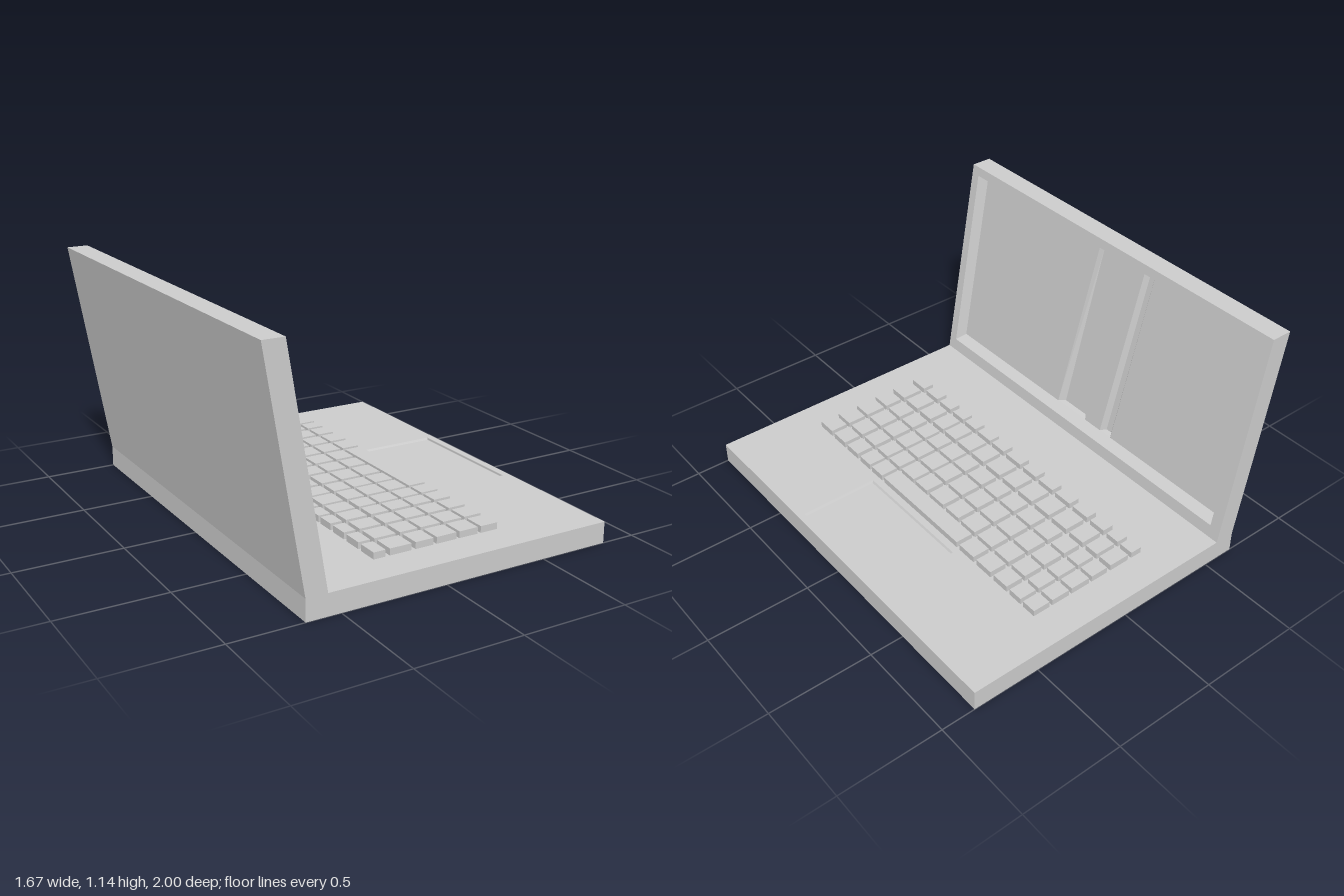
import * as THREE from 'three';

const grey = new THREE.MeshStandardMaterial({ color: 0xcccccc, flatShading: true });

// Counter-clockwise rectangle
const rect = (x0, y0, x1, y1) => [[x0, y0], [x1, y0], [x1, y1], [x0, y1]];
const toVectors = (pts) => pts.map(([x, y]) => new THREE.Vector2(x, y));

// Flat face at height h, with optional holes
function panel(outline, h, { holes = [], flip = false } = {}) {
  const shape = new THREE.Shape(toVectors(outline));
  holes.forEach((pts) => shape.holes.push(new THREE.Path(toVectors(pts))));
  const geo = new THREE.ShapeGeometry(shape).translate(0, 0, h);
  if (flip) {
    geo.index.array.reverse();
    geo.computeVertexNormals();
  }
  return geo;
}

// Walls joining two outlines: outward when a is above b, inward when a is below b
function walls(a, ha, b, hb) {
  const pos = [];
  a.forEach((p, i) => {
    const j = (i + 1) % a.length;
    const ai = [...p, ha], aj = [...a[j], ha], bi = [...b[i], hb], bj = [...b[j], hb];
    pos.push(...ai, ...bi, ...bj, ...ai, ...bj, ...aj);
  });
  const geo = new THREE.BufferGeometry();
  geo.setAttribute('position', new THREE.Float32BufferAttribute(pos, 3));
  geo.computeVertexNormals();
  return geo;
}

// Named group of faces, all placed by one matrix
function assemble(name, matrix, parts) {
  const group = new THREE.Group();
  group.name = name;
  for (const [label, geo] of parts) {
    const mesh = new THREE.Mesh(geo.applyMatrix4(matrix), grey);
    mesh.name = label;
    group.add(mesh);
  }
  return group;
}

function makeBase() {
  const outer = rect(-0.66, -1, 0.835, 1);
  const padRim = rect(0.415, -0.325, 0.8, 0.308);
  const padFloor = rect(0.421, -0.319, 0.799, 0.302);
  return assemble('base', new THREE.Matrix4().makeRotationX(-Math.PI / 2), [
    ['baseSides', walls(outer, 0.1, outer, 0)],
    ['baseUnderside', panel(outer, 0, { flip: true })],
    ['deck', panel(outer, 0.1, { holes: [padRim] })],
    ['trackpadEdge', walls(padFloor, 0.09, padRim, 0.1)],
    ['trackpad', panel(padFloor, 0.09)],
  ]);
}

function makeLid() {
  const slope = 0.175 / 1.04, depth = 0.046, grooveDepth = 0.071;
  const outer = rect(-1, 0.1, 1, 1.14);
  const rim = rect(-0.953, 0.16, 0.943, 1.097);
  const [u0, y0, u1, y1] = [-0.927, 0.187, 0.921, 1.075];
  const strip = (b0, b1, t0, t1, inset = 0) =>
    [[b0, y0 + inset], [b1, y0 + inset], [t1, y1 - inset], [t0, y1 - inset]];

  // Wedge groove and slanted groove in the screen: rim and floor of each
  const grooves = [
    [strip(-0.166, 0.037, -0.085, -0.053), strip(-0.136, 0.023, -0.076, -0.063, 0.006)],
    [strip(0.145, 0.22, 0.214, 0.278), strip(0.166, 0.2, 0.23, 0.258, 0.006)],
  ];
  const parts = [
    ['lidSides', walls(outer, 0, outer, -0.1)],
    ['lidBack', panel(outer, -0.1, { flip: true })],
    ['bezel', panel(outer, 0, { holes: [rim] })],
    ['bezelSlope', walls(rect(u0, y0, u1, y1), -depth, rim, 0)],
    ['screenLeft', panel(strip(u0, -0.166, u0, -0.085), -depth)],
    ['screenMiddle', panel(strip(0.037, 0.145, -0.053, 0.214), -depth)],
    ['screenRight', panel(strip(0.22, u1, 0.278, u1), -depth)],
  ];
  for (const [top, floor] of grooves) {
    parts.push(['grooveWalls', walls(floor, -grooveDepth, top, -depth)]);
    parts.push(['grooveFloor', panel(floor, -grooveDepth)]);
  }

  // Stand the lid up, facing +x and sheared backwards
  const lean = new THREE.Matrix4().makeBasis(
    new THREE.Vector3(0, 0, -1), new THREE.Vector3(-slope, 1, 0), new THREE.Vector3(1, 0, 0));
  lean.setPosition(-0.56 + slope * 0.1, 0, 0);
  return assemble('lid', lean, parts);
}

function makeKeyboard() {
  const group = new THREE.Group();
  group.name = 'keyboard';
  const addKey = (name, [x0, x1], [z0, z1]) => {
    const key = new THREE.Mesh(new THREE.BoxGeometry(x1 - x0, 0.032, z1 - z0), grey);
    key.position.set((x0 + x1) / 2, 0.115, (z0 + z1) / 2);
    key.name = name;
    group.add(key);
  };
  // Key rows along x, key columns along z
  const rows = [[-0.246, -0.188], [-0.167, -0.061], [-0.04, 0.05], [0.066, 0.167],
    [0.183, 0.278], [0.294, 0.381]];
  const columns = [[-0.83, -0.757], [-0.74, -0.667], [-0.646, -0.556], [-0.534, -0.434],
    [-0.413, -0.312], [-0.291, -0.19], [-0.169, -0.074], [-0.053, 0.053], [0.074, 0.164],
    [0.18, 0.278], [0.296, 0.381], [0.397, 0.481], [0.503, 0.593], [0.614, 0.709], [0.73, 0.828]];
  rows.forEach((row, r) => columns.forEach((column, c) => {
    const underSpaceBar = r === 5 && c >= 5 && c <= 9;
    if (!underSpaceBar) addKey('key', row, column);
  }));
  addKey('spaceBar', rows[5], [-0.291, 0.278]);
  return group;
}

export function createModel() {
  const model = new THREE.Group();
  model.name = 'laptop';
  model.add(makeBase(), makeLid(), makeKeyboard());
  return model;
}
